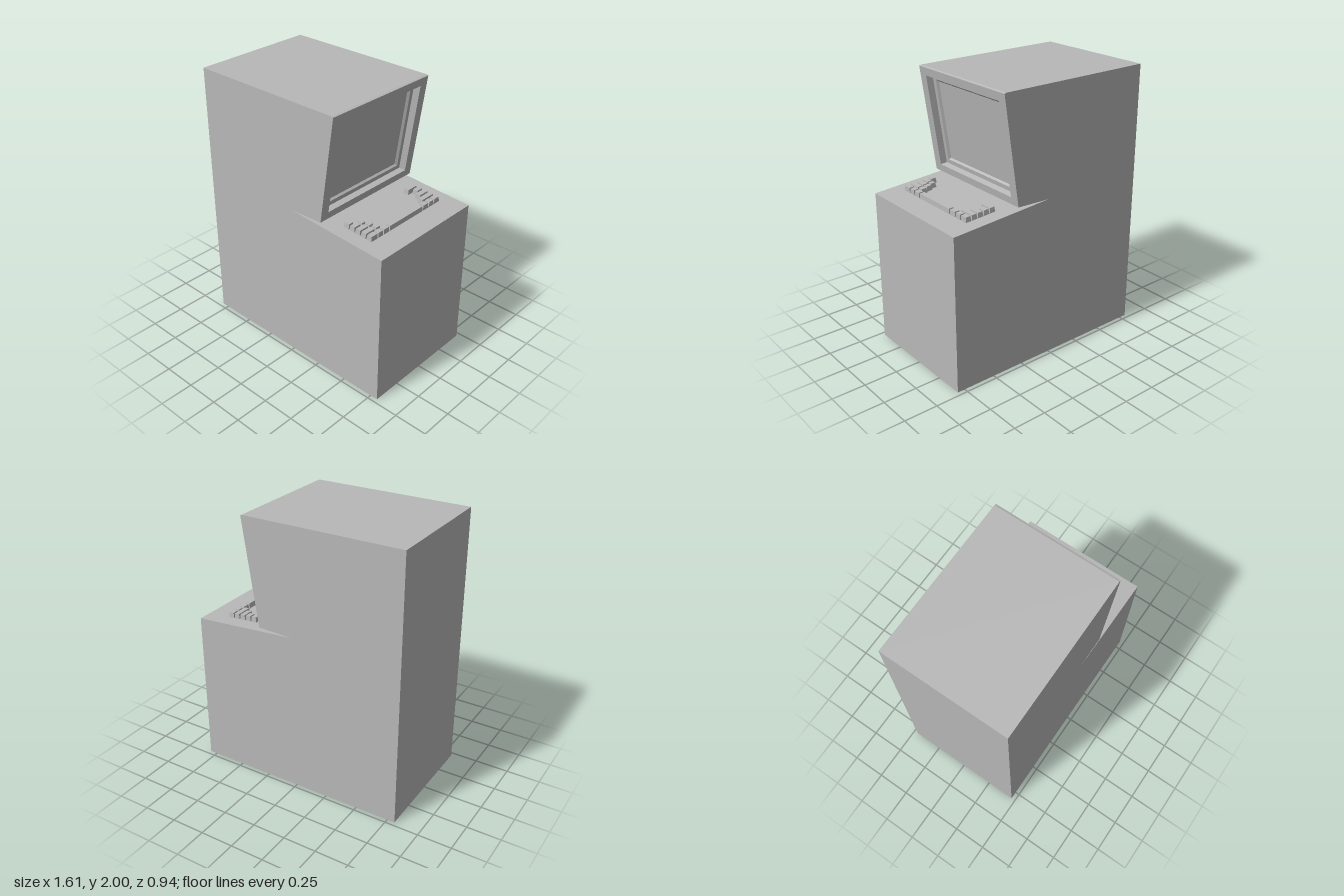
import * as THREE from 'three';

const HALF = 0.468; // half depth of the cabinet
const grey = new THREE.MeshStandardMaterial({ color: 0xb8b8b8 });
grey.name = 'cabinet grey';

// Flat-shaded geometry from a list of quads (four corners each, counter-clockwise)
function quads(list) {
  const pos = [];
  for (const [a, b, c, d] of list) pos.push(...a, ...b, ...c, ...a, ...c, ...d);
  const g = new THREE.BufferGeometry();
  g.setAttribute('position', new THREE.Float32BufferAttribute(pos, 3));
  g.computeVertexNormals();
  return g;
}

function add(parent, name, geometry) {
  const mesh = new THREE.Mesh(geometry, grey);
  mesh.name = name;
  parent.add(mesh);
  return mesh;
}

// Side outline of the cabinet
const outline = [
  [-0.807, 0], [0.807, 0], [0.807, 1.15], [0.02, 1.203],
  [0.285, 1.213], [0.4, 1.995], [0.385, 2], [-0.807, 2],
];
const SCREEN_EDGE = 4; // the edge from point 4 to 5 carries the monitor

function buildCabinet(group) {
  const side = new THREE.ShapeGeometry(new THREE.Shape(outline.map(p => new THREE.Vector2(...p))));
  add(group, 'leftSide', side).position.z = HALF;
  const back = side.clone().scale(1, 1, -1);
  const idx = back.index.array;
  for (let i = 0; i < idx.length; i += 3) [idx[i], idx[i + 1]] = [idx[i + 1], idx[i]];
  back.computeVertexNormals();
  add(group, 'rightSide', back).position.z = -HALF;

  // Panels around the outline, leaving the monitor opening
  const panels = [];
  outline.forEach((a, i) => {
    if (i === SCREEN_EDGE) return;
    const b = outline[(i + 1) % outline.length];
    panels.push([[...a, HALF], [...a, -HALF], [...b, -HALF], [...b, HALF]]);
  });
  add(group, 'cabinetPanels', quads(panels));
}

function buildMonitor(group) {
  const [x0, y0] = outline[SCREEN_EDGE], [x1, y1] = outline[SCREEN_EDGE + 1];
  // Stepped rectangles: half width, bottom, top, depth behind the face
  const rings = [
    [HALF, y0, y1, 0],
    [0.4, 1.267, 1.937, 0],
    [0.388, 1.277, 1.931, 0.045],
    [0.357, 1.309, 1.911, 0.045],
    [0.343, 1.321, 1.897, 0.06],
  ].map(([w, lo, hi, d]) => [[w, lo], [-w, lo], [-w, hi], [w, hi]].map(([z, y]) =>
    [x0 + (x1 - x0) * (y - y0) / (y1 - y0) - d, y, z]));
  const bezel = [];
  for (let r = 0; r + 1 < rings.length; r++) {
    for (let i = 0; i < 4; i++) {
      const j = (i + 1) % 4;
      bezel.push([rings[r][i], rings[r][j], rings[r + 1][j], rings[r + 1][i]]);
    }
  }
  add(group, 'monitorBezel', quads(bezel));
  add(group, 'screen', quads([rings.at(-1)]));
}

// Tapered key cap standing on y = 0
function keyGeometry(width, length, height) {
  const g = new THREE.BoxGeometry(width, height, length).toNonIndexed();
  const p = g.attributes.position;
  for (let i = 0; i < p.count; i++) {
    if (p.getY(i) > 0) {
      p.setX(i, p.getX(i) - Math.sign(p.getX(i)) * 0.004);
      p.setZ(i, p.getZ(i) - Math.sign(p.getZ(i)) * 0.004);
    }
  }
  g.translate(0, height / 2, 0);
  g.computeVertexNormals();
  return g;
}

function buildKeyboard(group) {
  const keyboard = new THREE.Group();
  keyboard.name = 'keyboard';
  // Local x runs down the sloping deck
  keyboard.position.set(0.02, 1.203, 0);
  keyboard.rotation.z = Math.atan2(1.15 - 1.203, 0.807 - 0.02);
  group.add(keyboard);
  // Each row: distance along x, then z spans of its keys
  const rows = [
    [0.415, [[-0.36, -0.263], [0.315, 0.36]]],
    [0.464, [[-0.36, -0.302], [0.248, 0.288], [0.293, 0.36]]],
    [0.513, [[-0.36, -0.27], [0.228, 0.27], [0.275, 0.36]]],
    [0.562, [[-0.36, -0.235], [0.215, 0.262], [0.267, 0.36]]],
    [0.611, [[-0.36, -0.303], [-0.297, -0.247], [-0.24, -0.18], [-0.174, 0.174],
      [0.18, 0.237], [0.242, 0.292], [0.297, 0.36]]],
  ];
  for (const [x, spans] of rows) {
    for (const [a, b] of spans) {
      const key = add(keyboard, b - a > 0.3 ? 'spaceBar' : 'key', keyGeometry(0.044, b - a, 0.036));
      key.position.set(x - 0.02, 0, (a + b) / 2);
    }
  }
}

export function createModel() {
  const model = new THREE.Group();
  model.name = 'computerTerminal';
  buildCabinet(model);
  buildMonitor(model);
  buildKeyboard(model);
  return model;
}
